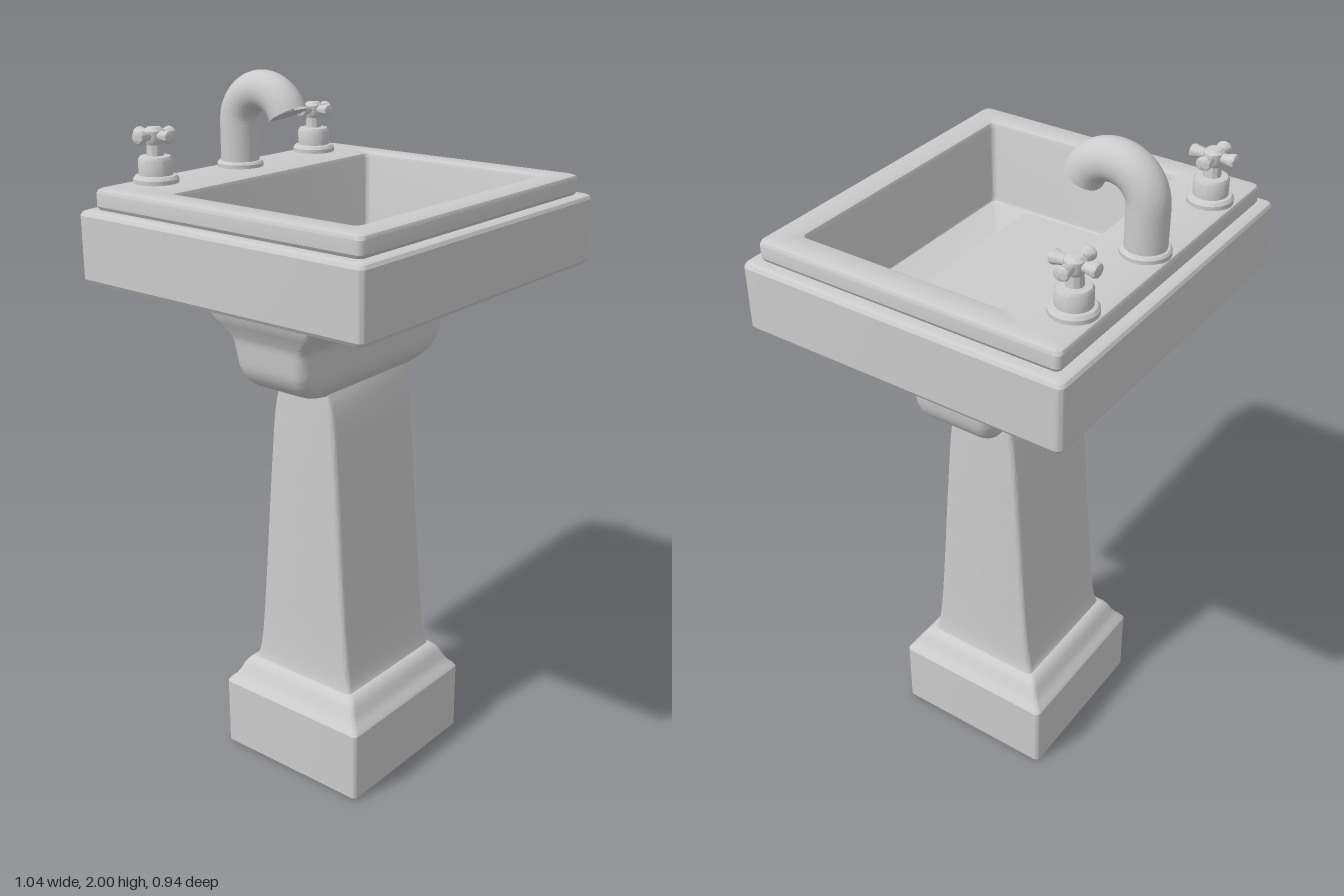
import * as THREE from 'three';
import { toCreasedNormals } from 'three/addons/utils/BufferGeometryUtils.js';

const material = new THREE.MeshStandardMaterial({ color: 0xcccccc });

function add(parent, name, geometry) {
  const mesh = new THREE.Mesh(geometry, material);
  mesh.name = name;
  parent.add(mesh);
  return mesh;
}

// Capped loft through rounded rectangles: [y, halfWidth, halfDepth, cornerRadius, zCentre]
function loft(sections, steps = 5) {
  const pos = [], index = [], n = 4 * (steps + 1);
  for (const [y, w, d, r, zc = 0] of sections) {
    for (let q = 0; q < 4; q++) {
      const sx = q === 0 || q === 3 ? 1 : -1, sz = q < 2 ? 1 : -1;
      for (let k = 0; k <= steps; k++) {
        const t = (q + k / steps) * Math.PI / 2;
        pos.push(sx * (w - r) + r * Math.cos(t), y, zc + sz * (d - r) + r * Math.sin(t));
      }
    }
  }
  const last = sections.length - 1;
  for (let i = 0; i < last; i++) {
    for (let j = 0; j < n; j++) {
      const a = i * n + j, b = i * n + (j + 1) % n;
      index.push(a, a + n, b, b, a + n, b + n);
    }
  }
  const bottom = pos.length / 3, top = bottom + 1;
  pos.push(0, sections[0][0], sections[0][4] ?? 0, 0, sections[last][0], sections[last][4] ?? 0);
  for (let j = 0; j < n; j++) {
    const k = (j + 1) % n;
    index.push(bottom, j, k, top, last * n + k, last * n + j);
  }
  const geometry = new THREE.BufferGeometry();
  geometry.setAttribute('position', new THREE.Float32BufferAttribute(pos, 3));
  geometry.setIndex(index);
  return toCreasedNormals(geometry, 0.45);
}

// Refines a few sections into a smooth sweep
function smooth(sections, count) {
  const pick = (c) => new THREE.CatmullRomCurve3(
    sections.map((s) => new THREE.Vector3(s[0], s[c], s[c + 1])), false, 'centripetal');
  const size = pick(1), radius = pick(2);
  return Array.from({ length: count + 1 }, (_, i) => {
    const p = size.getPoint(i / count);
    return [p.x, p.y, p.z, radius.getPoint(i / count).z];
  });
}

function lathe(points, segments = 32) {
  return toCreasedNormals(
    new THREE.LatheGeometry(points.map((p) => new THREE.Vector2(...p)), segments), 0.6);
}

function tap(x) {
  const group = new THREE.Group();
  group.name = x > 0 ? 'leftTap' : 'rightTap';
  group.position.set(x, 1.73, -0.375);
  // flange, body and stem
  add(group, 'tapBody', lathe([
    [0, 0], [0.061, 0], [0.061, 0.012], [0.055, 0.02], [0.046, 0.022], [0.046, 0.062],
    [0.041, 0.07], [0.023, 0.072], [0.021, 0.1], [0.027, 0.11], [0.027, 0.136],
    [0.018, 0.145], [0, 0.147]]));
  // four flared arms
  const armShape = lathe([[0.013, 0], [0.014, 0.025], [0.018, 0.045], [0.021, 0.055],
    [0.019, 0.061], [0.011, 0.064], [0, 0.065]], 20);
  for (let i = 0; i < 4; i++) {
    const arm = new THREE.Group();
    arm.name = 'handleArm';
    arm.position.y = 0.124;
    arm.rotation.y = i * Math.PI / 2;
    const mesh = add(arm, 'handleArmShell', armShape);
    mesh.rotation.x = Math.PI / 2;
    mesh.scale.z = 0.85;
    group.add(arm);
  }
  return group;
}

export function createModel() {
  const model = new THREE.Group();
  model.name = 'pedestalSink';

  // Foot with a coved shoulder
  add(model, 'foot', loft([
    [0, 0.248, 0.242, 0.012], [0.008, 0.257, 0.25, 0.015], [0.215, 0.257, 0.25, 0.015],
    [0.225, 0.251, 0.244, 0.015], [0.235, 0.241, 0.232, 0.015], [0.255, 0.231, 0.22, 0.015],
    [0.275, 0.223, 0.212, 0.015], [0.29, 0.214, 0.202, 0.015], [0.298, 0.205, 0.192, 0.015],
    [0.302, 0.195, 0.182, 0.015]]));

  // Tapering column
  add(model, 'column', loft(smooth([
    [0.29, 0.2, 0.185, 0.015], [0.32, 0.194, 0.174, 0.015], [0.4, 0.19, 0.162, 0.015],
    [0.6, 0.187, 0.145, 0.015], [0.8, 0.184, 0.131, 0.015], [1.0, 0.181, 0.116, 0.015],
    [1.1, 0.179, 0.107, 0.015], [1.16, 0.178, 0.096, 0.015], [1.2, 0.177, 0.082, 0.015]], 32)));

  // Moulded underside of the bowl
  add(model, 'bowlSupport', loft(smooth([
    [1.185, 0.19, 0.08, 0.02], [1.2, 0.25, 0.094, 0.03], [1.225, 0.29, 0.112, 0.035],
    [1.26, 0.311, 0.122, 0.035], [1.31, 0.319, 0.128, 0.035], [1.345, 0.323, 0.133, 0.03],
    [1.365, 0.33, 0.145, 0.025], [1.4, 0.346, 0.17, 0.02], [1.44, 0.358, 0.197, 0.015],
    [1.475, 0.375, 0.222, 0.012], [1.488, 0.385, 0.235, 0.012]], 40)));

  // Basin: slab, raised rim and sunken bowl in one skin
  add(model, 'basin', loft([
    [1.48, 0.508, 0.458, 0.015], [1.483, 0.516, 0.467, 0.018], [1.492, 0.521, 0.472, 0.02],
    [1.662, 0.521, 0.472, 0.02], [1.671, 0.516, 0.467, 0.018], [1.675, 0.508, 0.458, 0.015],
    [1.675, 0.482, 0.436, 0.015], [1.684, 0.487, 0.442, 0.018],
    [1.718, 0.487, 0.442, 0.018], [1.727, 0.483, 0.438, 0.018], [1.731, 0.474, 0.429, 0.015],
    [1.731, 0.415, 0.31, 0.02, 0.065], [1.727, 0.406, 0.301, 0.016, 0.065],
    [1.717, 0.402, 0.297, 0.014, 0.065], [1.5, 0.398, 0.293, 0.014, 0.065],
    [1.49, 0.395, 0.29, 0.013, 0.065], [1.486, 0.386, 0.281, 0.012, 0.065]]));

  // Gooseneck spout
  const spout = new THREE.Group();
  spout.name = 'spout';
  const path = new THREE.CurvePath();
  const arc = (a) => new THREE.Vector3(0, 1.852 + 0.094 * Math.sin(a), -0.279 - 0.094 * Math.cos(a));
  const end = 0.88 * Math.PI;
  path.add(new THREE.LineCurve3(new THREE.Vector3(0, 1.73, -0.373), arc(0)));
  path.add(new THREE.CatmullRomCurve3(Array.from({ length: 13 }, (_, i) => arc(i * end / 12))));
  add(spout, 'spoutTube', new THREE.TubeGeometry(path, 48, 0.054, 28));
  const mouth = add(spout, 'spoutMouth', new THREE.CircleGeometry(0.054, 28));
  mouth.position.copy(arc(end));
  mouth.lookAt(arc(end).add(new THREE.Vector3(0, Math.cos(end), Math.sin(end))));
  const collar = add(spout, 'spoutCollar', lathe([
    [0, 0], [0.065, 0], [0.065, 0.012], [0.06, 0.018], [0.05, 0.02]]));
  collar.position.set(0, 1.729, -0.373);
  model.add(spout);

  for (const side of [-1, 1]) model.add(tap(side * 0.325));
  return model;
}
